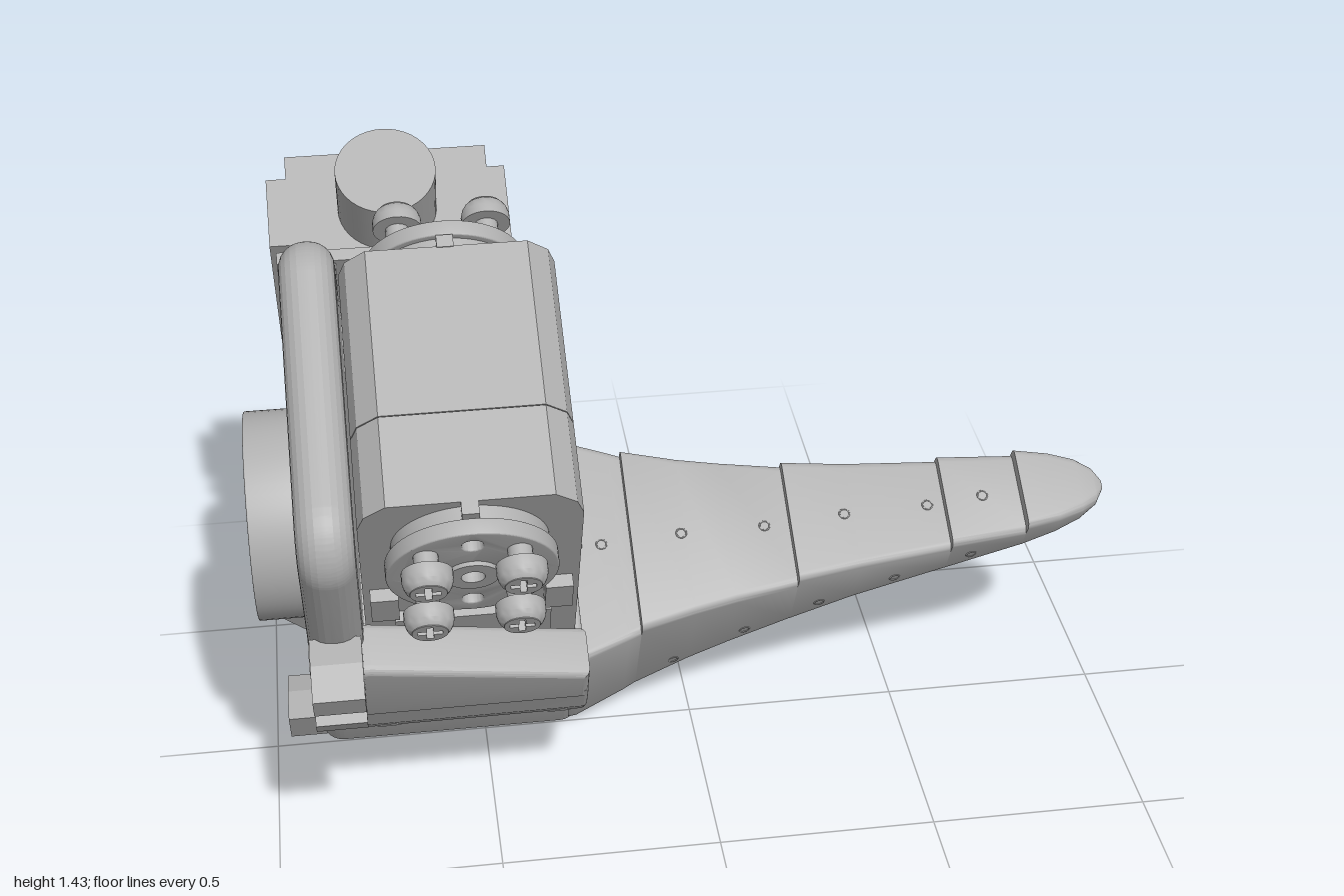
import * as THREE from 'three';
import { toCreasedNormals } from 'three/addons/utils/BufferGeometryUtils.js';

const grey = new THREE.MeshStandardMaterial({ color: 0xb0b0b0 });
grey.name = 'grey plastic';

export function createModel() {
  const model = new THREE.Group();
  model.name = 'gripperJaw';
  const tilt = new THREE.Group(); // the whole assembly leans forward by 30 degrees
  tilt.name = 'assembly';
  tilt.rotation.x = Math.PI / 6;
  model.add(tilt);

  const add = (name, geometry, parent = tilt) => {
    const m = new THREE.Mesh(geometry, grey);
    m.name = name;
    parent.add(m);
    return m;
  };
  const poly = pts => new THREE.Shape(pts.map(p => new THREE.Vector2(p[0], p[1])));
  const zy = pts => poly(pts.map(([z, y]) => [-z, y])); // side profile given as z, y
  const disc = (x, y, r, holes = []) => {
    const s = new THREE.Shape().absarc(x, y, r, 0, Math.PI * 2);
    holes.forEach(([hx, hy, hr]) => s.holes.push(new THREE.Path().absarc(x + hx, y + hy, hr, 0, Math.PI * 2)));
    return s;
  };
  const roundRect = (x0, y0, x1, y1, r) => {
    const s = new THREE.Shape();
    s.absarc(x1 - r, y0 + r, r, -Math.PI / 2, 0);
    s.absarc(x1 - r, y1 - r, r, 0, Math.PI / 2);
    s.absarc(x0 + r, y1 - r, r, Math.PI / 2, Math.PI);
    s.absarc(x0 + r, y0 + r, r, Math.PI, Math.PI * 1.5);
    return s;
  };
  const extrudeZ = (shape, z0, z1, bevel = 0) => {
    const g = new THREE.ExtrudeGeometry(shape, {
      depth: z1 - z0 - 2 * bevel, bevelEnabled: bevel > 0, bevelSize: bevel,
      bevelThickness: bevel, bevelOffset: -bevel, bevelSegments: 6, curveSegments: 32,
    });
    return toCreasedNormals(g.translate(0, 0, z0 + bevel), 0.25);
  };
  const extrudeX = (shape, x0, x1, bevel = 0) => extrudeZ(shape, x0, x1, bevel).rotateY(Math.PI / 2);
  const box = (x0, x1, y0, y1, z0, z1) =>
    new THREE.BoxGeometry(x1 - x0, y1 - y0, z1 - z0).translate((x0 + x1) / 2, (y0 + y1) / 2, (z0 + z1) / 2);
  const rim = (name, x, y, z, rx, ry, r = 0.012) => { // edge of a screw hole
    const m = add(name, new THREE.TorusGeometry(r, 0.002, 6, 20));
    m.position.set(x, y, z);
    m.rotation.set(rx, ry, 0);
  };

  // base block with a round opening underneath
  const floor = roundRect(-0.89, 0, -0.27, 0.6, 0.05);
  floor.holes.push(new THREE.Path().absarc(-0.58, 0.3, 0.075, 0, Math.PI * 2));
  add('baseBlock', extrudeZ(floor, -0.008, 0.22, 0.02).rotateX(-Math.PI / 2));

  // servo cradle: floor, sloping sides and back wall
  add('cradle', extrudeX(zy([
    [-0.01, 0.15], [-0.59, 0.15], [-0.6, 0.18], [-0.72, 0.34], [-0.745, 0.39], [-0.745, 0.45], [-0.705, 0.65],
    [-0.695, 0.685], [-0.62, 0.7], [-0.62, 0.54], [0.01, 0.54], [0.15, 0.54], [0.145, 0.44], [0.125, 0.38], [0.02, 0.2],
  ]), -0.89, -0.283, 0.012));
  add('frontLip', extrudeZ(poly([[-0.89, 0.5], [-0.283, 0.5], [-0.283, 0.625], [-0.76, 0.745], [-0.89, 0.745]]), 0.03, 0.152, 0.02));
  for (const x of [-0.73, -0.345]) rim('cradleScrewHole', x, 0.375, 0.12, 0.5, 0, 0.03);
  rim('cradleScrewHole', -0.345, 0.42, -0.746, 0, 0, 0.03);

  // thick rounded side wall
  add('sideWall', extrudeX(roundRect(-0.115, 0.4, 0.7, 1.225, 0.13), -0.89, -0.77, 0.055));
  add('sideWallBracket', box(-0.88, -0.77, 0.45, 0.93, -0.78, -0.6));

  // pivot boss on the outer side, with a sloping support under it
  const ring4 = (d, r) => [[d, 0, r], [-d, 0, r], [0, d, r], [0, -d, r]];
  add('bossRing', extrudeX(disc(0.295, 0.65, 0.235, [[0, 0, 0.195]]), -1, -0.87, 0.004));
  add('bossDisc', extrudeX(disc(0.295, 0.65, 0.2, [[0, 0, 0.05], ...ring4(0.11, 0.03)]), -0.975, -0.87));
  add('bossSupport', extrudeZ(poly([[-0.975, 0.46], [-0.88, 0.32], [-0.88, 0.5], [-0.975, 0.5]]), -0.47, -0.14));

  // notched clip and small hook at the front of the side wall
  add('notchedClip', extrudeX(zy([
    [0.1, 0.64], [0.24, 0.66], [0.245, 0.7], [0.19, 0.7], [0.17, 0.73], [0.19, 0.77], [0.25, 0.77],
    [0.25, 0.84], [0.17, 0.85], [0.1, 0.83],
  ]), -0.885, -0.775));
  add('hook', extrudeX(zy([[0.0, 0.42], [0.07, 0.35], [0.14, 0.4], [0.14, 0.5], [0.06, 0.47]]), -0.95, -0.87));

  // servo in two halves with a fine seam between them
  const servoShape = poly([
    [-0.765, 0.54], [-0.3, 0.54], [-0.3, 1.13], [-0.315, 1.18], [-0.36, 1.22],
    [-0.705, 1.22], [-0.75, 1.18], [-0.765, 1.13],
  ]);
  add('servoFront', extrudeZ(servoShape, -0.208, 0));
  add('servoBack', extrudeZ(servoShape, -0.61, -0.21));
  add('servoSocket', box(-0.7, -0.36, 0.59, 0.72, -0.01, 0.025));
  for (const x of [-0.72, -0.345]) add('servoSocketEnd', box(x - 0.03, x + 0.03, 0.74, 0.84, -0.01, 0.03));
  add('servoBackStep', box(-0.7, -0.36, 0.6, 0.86, -0.635, -0.6));

  // horn disc with four cross-head screws, built once for each end
  const a = 0.007, b = 0.026;
  const headTop = disc(0, 0, 0.038);
  headTop.holes.push(new THREE.Path([
    [a, a], [a, b], [-a, b], [-a, a], [-b, a], [-b, -a], [-a, -a], [-a, -b], [a, -b], [a, -a], [b, -a], [b, a],
  ].map(p => new THREE.Vector2(...p))));
  const skirt = [[0.02, 0.108], [0.053, 0.108], [0.053, 0.128], [0.05, 0.14], [0.045, 0.149], [0.037, 0.156]];
  const horn = (name, z, turn) => {
    const g = new THREE.Group();
    g.name = name;
    g.position.set(-0.535, 1.035, z);
    g.rotation.y = turn;
    tilt.add(g);
    add('hornCollar', extrudeZ(disc(0, 0, 0.165), -0.01, 0.035), g);
    add('hornDisc', extrudeZ(disc(0, 0, 0.18, [[0, 0, 0.025], ...ring4(0.125, 0.022)]), 0.035, 0.072, 0.004), g);
    add('hornHub', extrudeZ(disc(0, 0, 0.055, [[0, 0, 0.025]]), 0.06, 0.082), g);
    add('hornMarker', box(-0.018, 0.018, 0.15, 0.187, 0, 0.03), g);
    for (const sx of [-1, 1]) for (const sy of [-1, 1]) {
      const screw = new THREE.Group();
      screw.name = 'screw';
      screw.position.set(sx * 0.096, sy * 0.096, 0);
      g.add(screw);
      add('screwShaft', new THREE.CylinderGeometry(0.026, 0.026, 0.1, 16).rotateX(Math.PI / 2).translate(0, 0, 0.08), screw);
      const dome = new THREE.LatheGeometry(skirt.map(p => new THREE.Vector2(...p)), 28).rotateX(Math.PI / 2);
      add('screwHead', toCreasedNormals(dome, 0.6), screw);
      add('screwHeadTop', extrudeZ(headTop, 0.13, 0.157), screw);
    }
  };
  horn('frontHorn', 0, 0);
  horn('backHorn', -0.607, Math.PI);

  // boxy unit with a round barrel behind the cradle
  add('unitBracket', box(-0.85, -0.42, 0.45, 0.7, -0.78, -0.68));
  add('unitPlate', box(-0.9, -0.37, 0.41, 0.94, -0.8, -0.77));
  add('unitCore', box(-0.87, -0.41, 0.45, 0.905, -1.08, -0.79));
  add('unitFlange', box(-0.915, -0.37, 0.45, 0.905, -1.02, -0.84));
  add('unitFlangeInner', box(-0.6, -0.37, 0.45, 0.905, -0.845, -0.79));
  add('unitBarrel', new THREE.CylinderGeometry(0.112, 0.112, 0.17, 40).translate(-0.645, 0.97, -0.925));
  for (const y of [0.54, 0.81]) for (const x of [-0.915, -0.37]) rim('unitHole', x, y, -0.9, 0, Math.PI / 2, 0.021);

  // tapering finger, lofted through stations of [x, half width, bottom, top] with stepped pads on top
  const stations = [
    [-0.3, 0.297, -0.008, 0.36], [-0.28, 0.295, -0.008, 0.36], [-0.16, 0.25, 0.02, 0.36], [-0.131, 0.238, 0.03, 0.36],
    [-0.13, 0.238, 0.03, 0.385], [0, 0.205, 0.075, 0.385], [0.1, 0.185, 0.108, 0.387], [0.249, 0.16, 0.158, 0.39],
    [0.25, 0.16, 0.158, 0.413], [0.4, 0.14, 0.213, 0.42], [0.619, 0.12, 0.288, 0.433],
    [0.62, 0.12, 0.288, 0.455], [0.799, 0.105, 0.355, 0.462],
    [0.8, 0.105, 0.355, 0.49], [0.88, 0.09, 0.385, 0.49], [0.94, 0.07, 0.41, 0.488],
    [0.98, 0.045, 0.435, 0.482], [1, 0.012, 0.455, 0.47],
  ];
  const ARC = 6, zc = -0.295, pos = [], index = [];
  for (const [x, w, b0, t] of stations) {
    const low = Math.min(0.05, 0.45 * w, 0.45 * (t - b0)), high = Math.min(0.02, low);
    [[-1, 0, low, 2], [1, 0, low, 3], [1, 1, high, 0], [-1, 1, high, 1]].forEach(([sx, top, r, q]) => {
      for (let k = 0; k < ARC; k++) {
        const ang = (q + k / (ARC - 1)) * Math.PI / 2;
        const s = sx * (w - r) + r * Math.cos(ang);
        pos.push(x, (top ? t - r : b0 + r) + r * Math.sin(ang), zc - s);
      }
    });
  }
  const n = ARC * 4, last = (stations.length - 1) * n;
  for (let s = 0; s < stations.length - 1; s++) for (let i = 0; i < n; i++) {
    const p = s * n + i, q = s * n + (i + 1) % n;
    index.push(p, q, q + n, p, q + n, p + n);
  }
  for (let i = 1; i < n - 1; i++) index.push(last, last + i, last + i + 1);
  const finger = new THREE.BufferGeometry();
  finger.setAttribute('position', new THREE.Float32BufferAttribute(pos, 3));
  finger.setIndex(index);
  add('finger', toCreasedNormals(finger, 0.5));

  // screw hole rims: straight through from top to bottom, and across both flanks
  const at = (x, c) => {
    const i = stations.findIndex(s => s[0] >= x), p = stations[i - 1], q = stations[i];
    return p[c] + (q[c] - p[c]) * (x - p[0]) / (q[0] - p[0]);
  };
  for (const x of [-0.26, -0.2, -0.01, 0.19, 0.38, 0.58, 0.71]) {
    rim('fingerTopHole', x, at(x, 3), zc, Math.PI / 2, 0);
    if (x > -0.25) rim('fingerBottomHole', x, at(x, 2), zc, Math.PI / 2, -0.34);
  }
  for (const x of [-0.04, 0.135, 0.315, 0.495, 0.675]) for (const side of [-1, 1])
    rim('fingerSideHole', x, 0.135 + 0.345 * (x + 0.04), zc + side * at(x, 1), 0, side * 0.13);

  return model;
}
